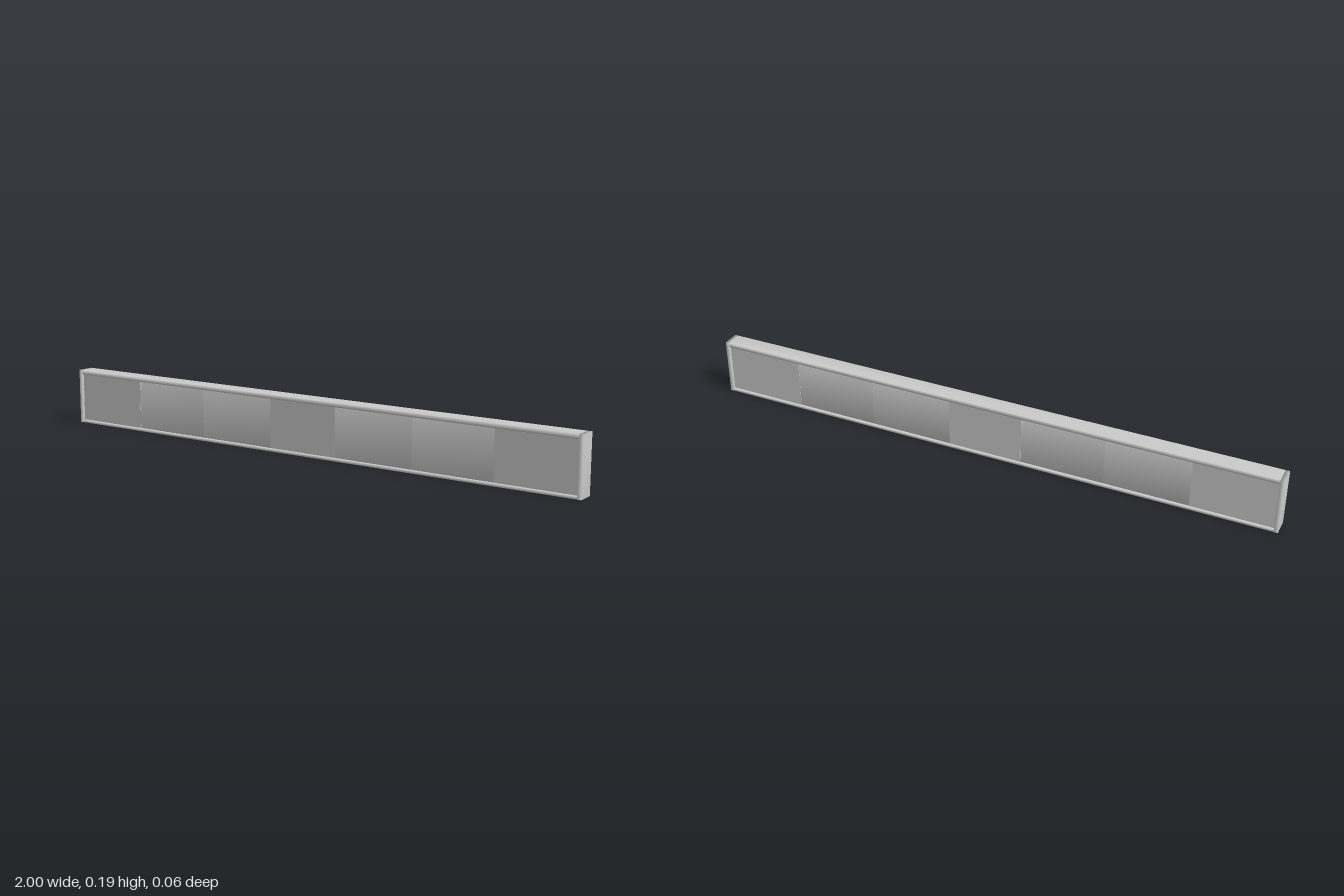
import * as THREE from 'three';
import { mergeVertices } from 'three/addons/utils/BufferGeometryUtils.js';

const material = new THREE.MeshStandardMaterial({ color: 0xcccccc });

// Box with optional shared corner normals, for softly shaded bars
function box(name, w, h, d, x, y, soft) {
  let geometry = new THREE.BoxGeometry(w, h, d);
  if (soft) {
    geometry.deleteAttribute('normal');
    geometry.deleteAttribute('uv');
    geometry = mergeVertices(geometry);
    geometry.computeVertexNormals();
  }
  const mesh = new THREE.Mesh(geometry, material);
  mesh.name = name;
  mesh.position.set(x, y, 0);
  return mesh;
}

export function createModel() {
  const model = new THREE.Group();
  model.name = 'lightBar';
  const height = 0.195, depth = 0.06;
  const top = 0.015, bottom = 0.01, side = 0.014;

  // Outer frame: two long rails and two end caps
  const frame = new THREE.Group();
  frame.name = 'frame';
  const railLength = 2 - 2 * side;
  frame.add(box('topRail', railLength, top, depth, 0, height - top / 2, true));
  frame.add(box('bottomRail', railLength, bottom, depth, 0, bottom / 2, true));
  for (const s of [-1, 1]) {
    frame.add(box(s > 0 ? 'leftEndCap' : 'rightEndCap', side, height, depth, s * (1 - side / 2), height / 2, true));
  }
  model.add(frame);

  // Row of seven inset segments: plain panels with pairs of lamps between
  const edges = [-1 + side, -0.71, -0.42, -0.13, 0.13, 0.42, 0.71, 1 - side];
  const segmentHeight = height - top - bottom;
  for (let i = 0; i < 7; i++) {
    const isLamp = i % 3 !== 0;
    const width = edges[i + 1] - edges[i];
    const x = (edges[i + 1] + edges[i]) / 2;
    model.add(box(isLamp ? 'lamp' : 'panel', width, segmentHeight, isLamp ? 0.044 : 0.046, x, bottom + segmentHeight / 2, isLamp));
  }
  return model;
}
